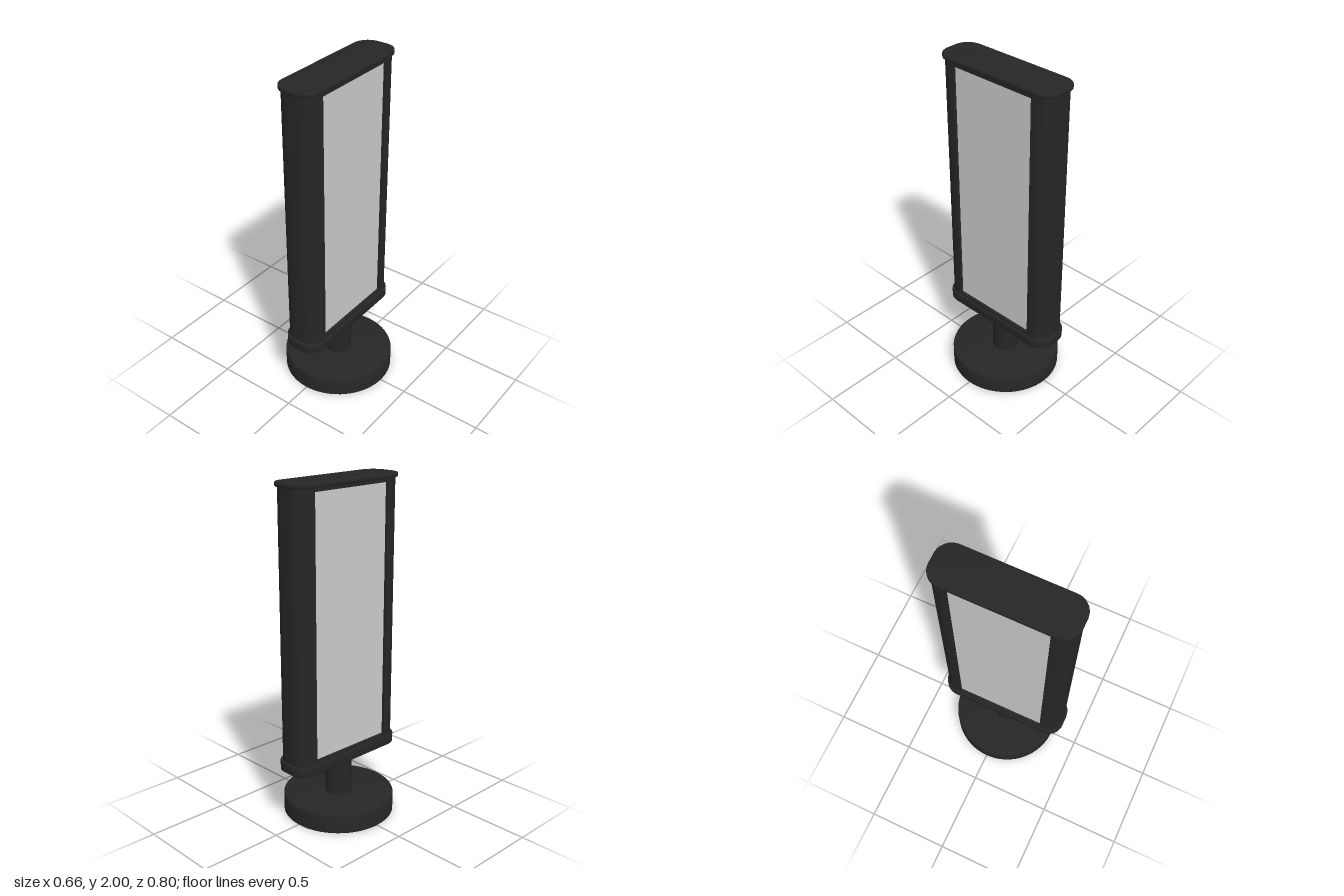
import * as THREE from 'three';
import { toCreasedNormals } from 'three/addons/utils/BufferGeometryUtils.js';

const dark = new THREE.MeshStandardMaterial({ color: 0x262626 });
const grey = new THREE.MeshStandardMaterial({ color: 0xcccccc });

// Rounded slab outline with half sizes x, z and corner radius r
function slabOutline(x, z, r) {
  const s = new THREE.Shape();
  s.absarc(x - r, z - r, r, 0, Math.PI / 2);
  s.absarc(-x + r, z - r, r, Math.PI / 2, Math.PI);
  s.absarc(-x + r, -z + r, r, Math.PI, Math.PI * 1.5);
  s.absarc(x - r, -z + r, r, Math.PI * 1.5, Math.PI * 2);
  s.closePath();
  return s;
}

// Side post outline: rounded outer end, flat inner face at z = inner
function postOutline(x, inner, outer, r) {
  const s = new THREE.Shape();
  s.moveTo(-x, inner);
  s.lineTo(x, inner);
  s.absarc(x - r, outer - r, r, 0, Math.PI / 2);
  s.absarc(-x + r, outer - r, r, Math.PI / 2, Math.PI);
  s.closePath();
  return s;
}

// Extrude a floor outline upwards from y0 to y1, with an optional edge bevel
function upright(shape, y0, y1, bevel = 0) {
  const geo = new THREE.ExtrudeGeometry(shape, {
    depth: y1 - y0 - 2 * bevel, curveSegments: 16, bevelEnabled: bevel > 0,
    bevelSize: bevel, bevelThickness: bevel, bevelOffset: -bevel, bevelSegments: 3,
  });
  geo.rotateX(-Math.PI / 2).translate(0, y0 + bevel, 0);
  return toCreasedNormals(geo, 0.6);
}

export function createModel() {
  const model = new THREE.Group();
  model.name = 'displayStand';
  const add = (name, geo, mat = dark, parent = model) => {
    const mesh = new THREE.Mesh(geo, mat);
    mesh.name = name;
    parent.add(mesh);
    return mesh;
  };

  // Round foot with softened edges
  const foot = [[0, 0], [0.325, 0], [0.33, 0.005], [0.33, 0.11], [0.327, 0.117], [0.32, 0.12], [0, 0.12]]
    .map(([x, y]) => new THREE.Vector2(x, y));
  add('base', toCreasedNormals(new THREE.LatheGeometry(foot, 64), 0.6));

  // Pole
  add('pole', new THREE.CylinderGeometry(0.08, 0.08, 0.25, 40).translate(0, 0.24, 0));

  // End caps
  const cap = slabOutline(0.123, 0.4, 0.095);
  add('bottomCap', upright(cap, 0.355, 0.415, 0.006));
  add('topCap', upright(cap, 1.975, 2, 0.006));

  // Frame: two rounded posts, two rails and a recessed core
  const frame = new THREE.Group();
  frame.name = 'frame';
  model.add(frame);
  const post = upright(postOutline(0.113, 0.275, 0.387, 0.09), 0.41, 1.98);
  add('frontPost', post, dark, frame);
  add('backPost', post, dark, frame).rotation.y = Math.PI;
  for (const [name, y0, y1] of [['bottomRail', 0.41, 0.435], ['topRail', 1.955, 1.98]]) {
    add(name, new THREE.BoxGeometry(0.226, y1 - y0, 0.55).translate(0, (y0 + y1) / 2, 0), dark, frame);
  }
  add('core', new THREE.BoxGeometry(0.17, 1.52, 0.55).translate(0, 1.195, 0), dark, frame);

  // Display panels, set back slightly on both faces
  for (const [name, side] of [['leftPanel', 1], ['rightPanel', -1]]) {
    add(name, new THREE.BoxGeometry(0.01, 1.52, 0.55), grey).position.set(side * 0.09, 1.195, 0);
  }
  return model;
}
